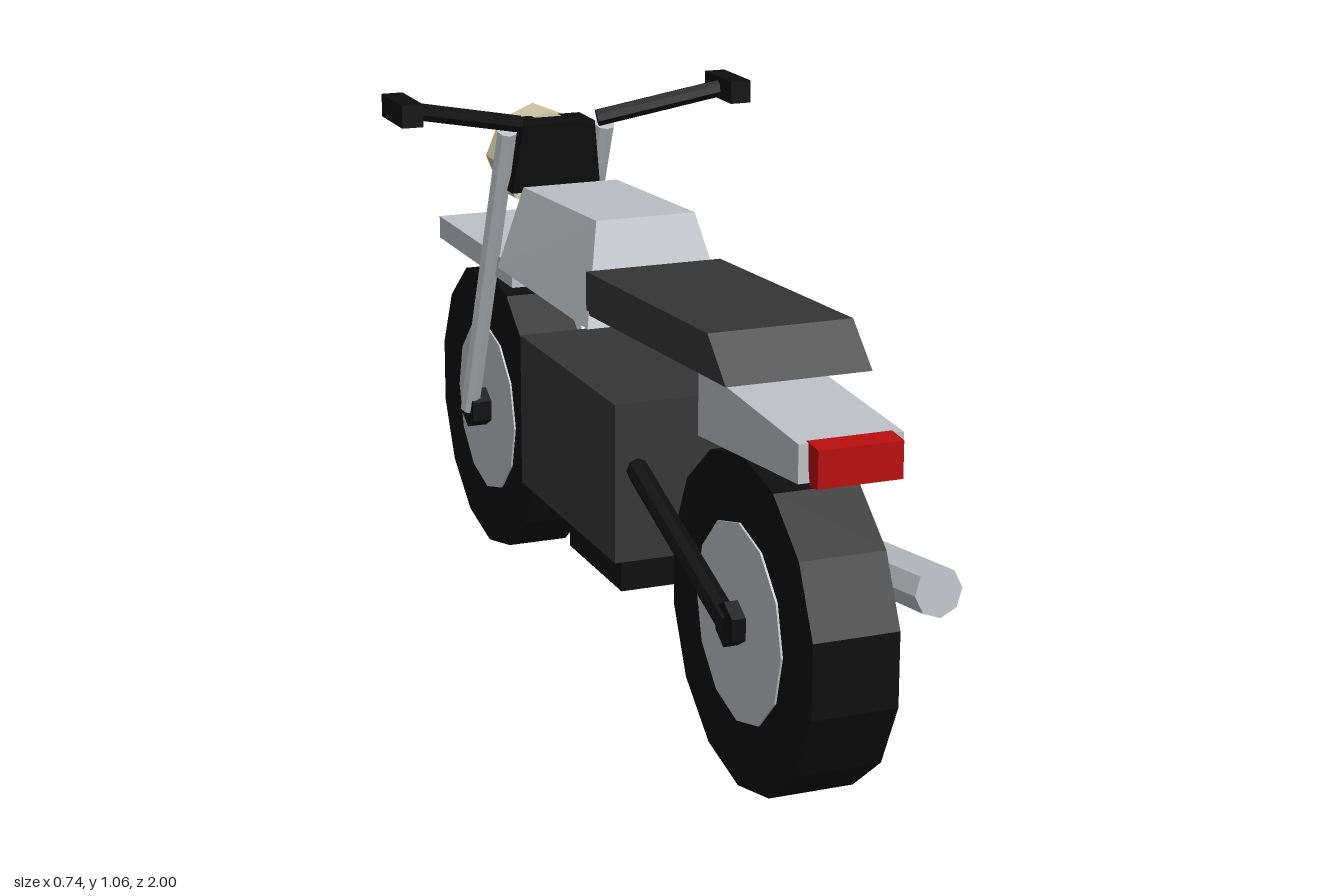
import * as THREE from 'three';

const mat = (name, color) => {
  const m = new THREE.MeshStandardMaterial({ color, flatShading: true });
  m.name = name;
  return m;
};

export function createModel() {
  const black = mat('black', 0x0e0e0e);
  const charcoal = mat('charcoal', 0x363636);
  const silver = mat('silver', 0xbdc1c6);
  const cream = mat('cream', 0xd2c9a8);
  const red = mat('red', 0xb80e0e);

  const model = new THREE.Group();
  model.name = 'motorbike';

  const add = (name, geometry, material) => {
    const mesh = new THREE.Mesh(geometry, material);
    mesh.name = name;
    model.add(mesh);
    return mesh;
  };
  const box = (name, material, [x0, x1], [y0, y1], [z0, z1]) =>
    add(name, new THREE.BoxGeometry(x1 - x0, y1 - y0, z1 - z0), material)
      .position.set((x0 + x1) / 2, (y0 + y1) / 2, (z0 + z1) / 2);
  // Straight rod between two points
  const rod = (name, material, from, to, radius, sides = 8) => {
    const a = new THREE.Vector3(...from), b = new THREE.Vector3(...to);
    const dir = b.clone().sub(a);
    const mesh = add(name, new THREE.CylinderGeometry(radius, radius, dir.length(), sides), material);
    mesh.position.copy(a).add(b).multiplyScalar(0.5);
    mesh.quaternion.setFromUnitVectors(new THREE.Vector3(0, 1, 0), dir.normalize());
  };
  // Six-sided block from a side profile: [z, y, half width], rear bottom, rear top, front top, front bottom
  const block = (name, material, profile) => {
    const g = new THREE.BoxGeometry(1, 1, 1);
    const p = g.attributes.position;
    for (let i = 0; i < p.count; i++) {
      const rear = p.getZ(i) > 0, top = p.getY(i) > 0;
      const [z, y, w] = profile[rear ? (top ? 1 : 0) : (top ? 2 : 3)];
      p.setXYZ(i, Math.sign(p.getX(i)) * w, y, z);
    }
    g.computeVertexNormals();
    add(name, g, material);
  };
  // Disc with its axle along x and a corner at the bottom
  const disc = (name, material, radius, halfWidth, sides, z) => {
    const g = new THREE.CylinderGeometry(radius, radius, halfWidth * 2, sides);
    g.rotateZ(Math.PI / 2).rotateX(Math.PI / 2);
    add(name, g, material).position.set(0, 0.307, z);
  };

  // Wheels
  for (const [end, z, w] of [['rear', 0.7, 0.08], ['front', -0.7, 0.064]]) {
    disc(end + 'Tyre', black, 0.307, w, 14, z);
    disc(end + 'Rim', silver, 0.183, w + 0.004, 12, z);
    disc(end + 'Axle', black, 0.042, 0.11, 6, z);
  }

  // Engine and body
  box('engine', charcoal, [-0.145, 0.145], [0.28, 0.588], [-0.25, 0.27]);
  box('sump', black, [-0.105, 0.105], [0.195, 0.28], [-0.08, 0.2]);
  block('tank', silver, [[0.125, 0.695, 0.143], [0.06, 0.885, 0.1], [-0.35, 0.865, 0.1], [-0.39, 0.695, 0.143]]);
  block('seat', charcoal, [[0.76, 0.755, 0.136], [0.68, 0.828, 0.136], [0.1, 0.8, 0.136], [0.1, 0.718, 0.136]]);
  block('tail', silver, [[0.963, 0.642, 0.095], [0.963, 0.71, 0.095], [0.545, 0.733, 0.095], [0.545, 0.604, 0.095]]);
  block('tailLight', red, [[1, 0.642, 0.077], [1, 0.708, 0.077], [0.955, 0.712, 0.077], [0.97, 0.637, 0.077]]);
  box('frontFender', silver, [-0.095, 0.095], [0.635, 0.683], [-0.92, -0.44]);
  rod('exhaust', silver, [0.19, 0.403, 0.922], [0.153, 0.288, -0.085], 0.046);

  // Paired forks, swing arms and handlebars
  for (const [side, s] of [['left', 1], ['right', -1]]) {
    rod(side + 'Fork', silver, [s * 0.105, 0.307, -0.7], [s * 0.105, 0.965, -0.43], 0.021);
    rod(side + 'SwingArm', black, [s * 0.1, 0.307, 0.7], [s * 0.1, 0.465, 0.25], 0.022);
    rod(side + 'Handlebar', black, [s * 0.085, 0.98, -0.42], [s * 0.335, 1.036, -0.36], 0.018);
    const x = [s * 0.325, s * 0.368].sort((a, b) => a - b);
    box(side + 'Grip', black, x, [1.015, 1.06], [-0.425, -0.29]);
  }

  // Headlight and its housing
  block('headlightHousing', black, [[-0.43, 0.835, 0.095], [-0.41, 0.978, 0.076], [-0.5, 0.978, 0.076], [-0.48, 0.835, 0.095]]);
  const lamp = new THREE.CylinderGeometry(0.103, 0.103, 0.095, 8).rotateX(Math.PI / 2);
  add('headlight', lamp, cream).position.set(0, 0.887, -0.525);

  return model;
}
